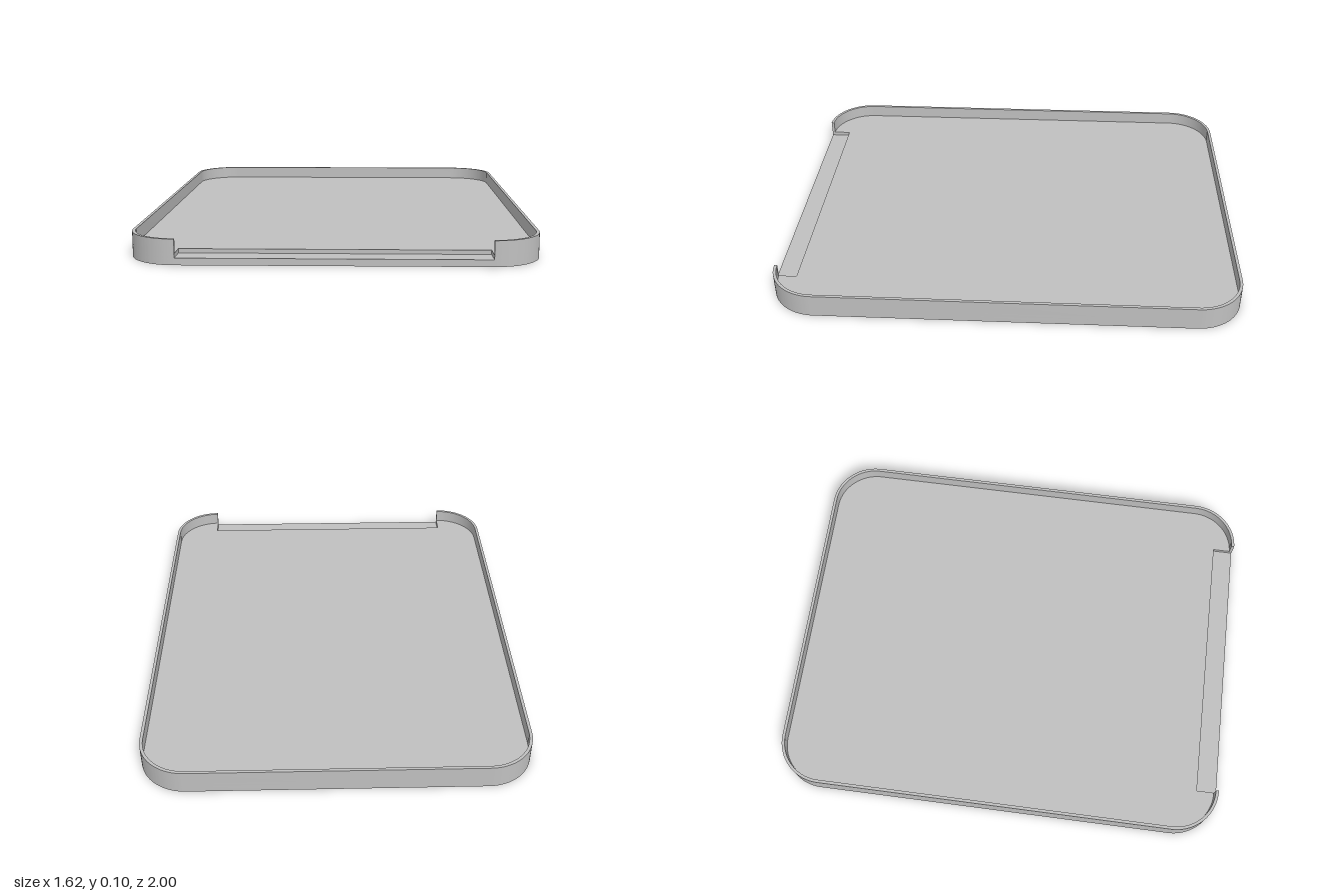
import * as THREE from 'three';
import { toCreasedNormals } from 'three/addons/utils/BufferGeometryUtils.js';

const CX = 0.61, CZ = 0.8;        // corner arc centres, also the notch half width
const R = 0.2, WALL = 0.013;      // outer corner radius and rim thickness
const NOTCH_Y = 0.028, FLOOR_Y = 0.045, TOP_Y = 0.102;
const NOTCH_BACK = 0.91;

// corner centres in order round the outline, starting at the front left
const corners = [[CX, -CZ], [CX, CZ], [-CX, CZ], [-CX, -CZ]];

// rounded outline, open along the front between x = CX and x = -CX
function traceOutline(shape, r, backwards = false) {
  for (let k = 0; k < 4; k++) {
    const i = backwards ? 3 - k : k;
    const a = (i - 1) * Math.PI / 2, b = i * Math.PI / 2;
    const [x, y] = corners[i];
    if (backwards) shape.absarc(x, y, r, b, a, true);
    else shape.absarc(x, y, r, a, b, false);
  }
}

// plan shape raised from y0 to y1
function slab(shape, y0, y1) {
  const g = new THREE.ExtrudeGeometry(shape, { depth: y1 - y0, bevelEnabled: false, curveSegments: 20 });
  g.rotateX(-Math.PI / 2).translate(0, y0, 0);
  return toCreasedNormals(g, 0.5);
}

export function createModel() {
  const group = new THREE.Group();
  group.name = 'tray';
  const grey = new THREE.MeshStandardMaterial({ color: 0xc0c0c0 });
  grey.name = 'light grey';

  const add = (name, shape, y0, y1) => {
    const mesh = new THREE.Mesh(slab(shape, y0, y1), grey);
    mesh.name = name;
    group.add(mesh);
  };

  // full bottom plate, whose top shows in the notch
  const base = new THREE.Shape();
  traceOutline(base, R);
  base.closePath();
  add('basePlate', base, 0, NOTCH_Y);

  // floor plate with the shallow step cut from its front edge
  const floor = new THREE.Shape();
  traceOutline(floor, R);
  floor.lineTo(-CX, -NOTCH_BACK);
  floor.lineTo(CX, -NOTCH_BACK);
  floor.closePath();
  add('floor', floor, NOTCH_Y, FLOOR_Y);

  // thin rim, open at the front
  const rim = new THREE.Shape();
  traceOutline(rim, R);
  traceOutline(rim, R - WALL, true);
  rim.closePath();
  add('rim', rim, FLOOR_Y, TOP_Y);

  return group;
}
